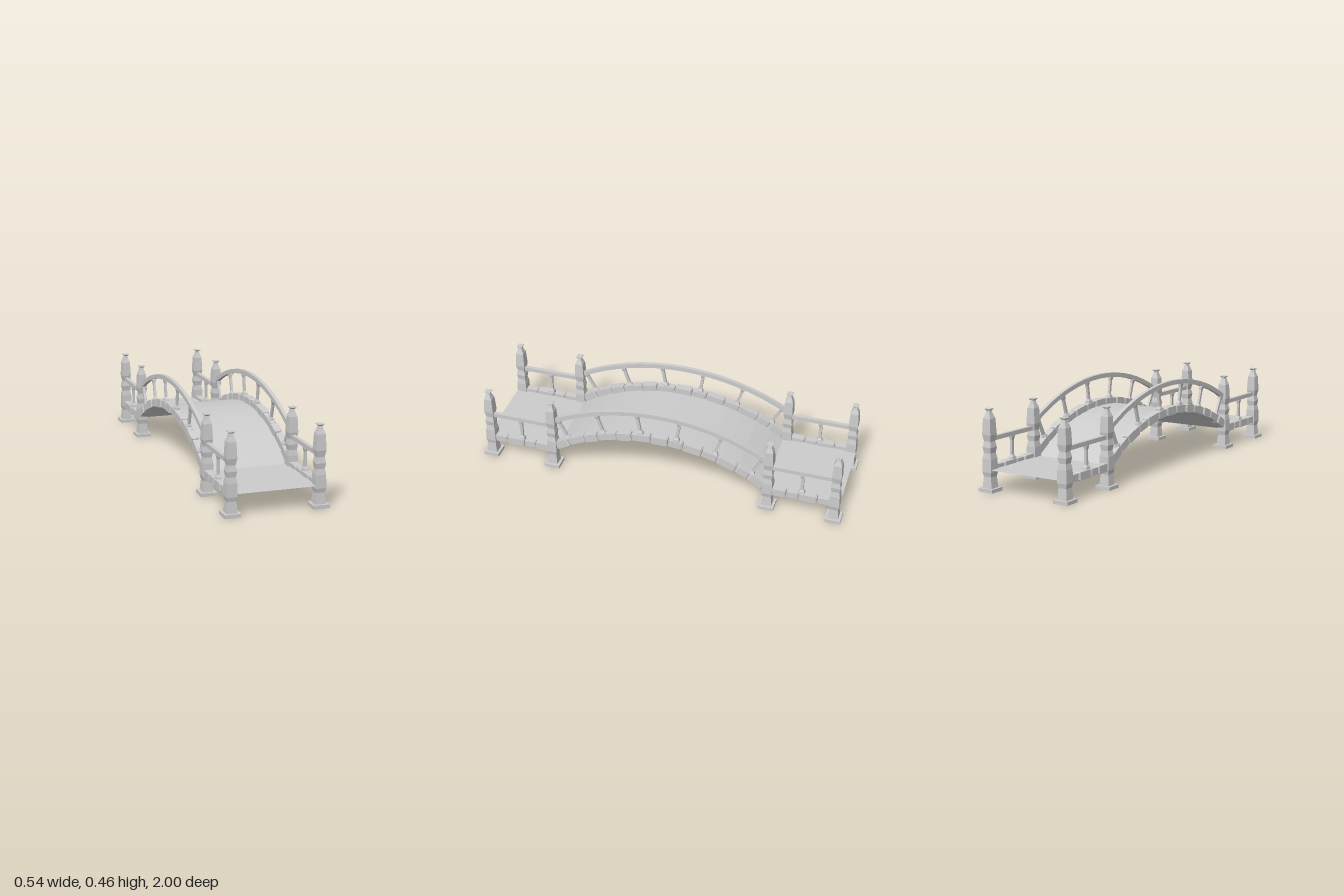
import * as THREE from 'three';

const grey = new THREE.MeshStandardMaterial({ color: 0xcccccc, flatShading: true });
const thin = new THREE.MeshStandardMaterial({ color: 0xcccccc, flatShading: true, side: THREE.DoubleSide });
const SIDE_X = 0.226;   // centre line of posts, stones and rails
const SPAN = 0.58;      // half length of the arch

// Square-section solid from [half width, height] pairs, closed at both ends
function squareLoft(profile) {
  const pts = profile.map(([h, y]) => new THREE.Vector2(h * Math.SQRT2, y));
  pts.unshift(new THREE.Vector2(0, profile[0][1]));
  pts.push(new THREE.Vector2(0, profile[profile.length - 1][1]));
  return new THREE.LatheGeometry(pts, 4).rotateY(Math.PI / 4);
}

function add(parent, name, geometry, material = grey) {
  const mesh = new THREE.Mesh(geometry, material);
  mesh.name = name;
  parent.add(mesh);
  return mesh;
}

// Circular arc through (0, top) and (SPAN, end), as angle -> [z, y]
function makeArc(top, end) {
  const rise = top - end;
  const r = (SPAN * SPAN + rise * rise) / (2 * rise);
  const max = Math.asin(SPAN / r);
  return { r, max, at: (a, off = 0) => [(r + off) * Math.sin(a), top - r + (r + off) * Math.cos(a)] };
}
const deckArc = makeArc(0.293, 0.112);
const stoneArc = makeArc(0.304, 0.135);
const railArc = makeArc(0.451, 0.3);

// Carved post with base plate and flared cap
const postGeometry = squareLoft([
  [0.028, 0.015], [0.0225, 0.075], [0.0275, 0.098], [0.026, 0.165], [0.0205, 0.194],
  [0.025, 0.222], [0.0195, 0.249], [0.0195, 0.254], [0.0255, 0.285], [0.0215, 0.365],
  [0.0125, 0.39], [0.009, 0.405],
]);
const capGeometry = squareLoft([[0.008, 0.403], [0.016, 0.41], [0.016, 0.414], [0.008, 0.4145]]);
function makePost() {
  const post = new THREE.Group();
  post.name = 'post';
  add(post, 'postBase', new THREE.BoxGeometry(0.084, 0.018, 0.084)).position.y = 0.009;
  add(post, 'postShaft', postGeometry);
  add(post, 'postCap', capGeometry);
  return post;
}

// Chamfered kerb stone, long axis along z
function stone(length, height, width) {
  const h = length / 2, c = 0.008;
  return squareLoft([[0.4, -h], [0.5, -h + c], [0.5, h - c], [0.4, h]])
    .rotateX(Math.PI / 2).scale(width, height, 1);
}

// Baluster flared at both ends, between two [z, y] points
function makeBaluster(parent, [z0, y0], [z1, y1]) {
  const len = Math.hypot(z1 - z0, y1 - y0);
  const mesh = add(parent, 'baluster', squareLoft([
    [0.017, 0], [0.015, 0.012], [0.008, 0.024], [0.008, len - 0.024], [0.012, len - 0.008], [0.012, len],
  ]).scale(0.8, 1, 1));
  mesh.position.set(0, y0, z0);
  mesh.rotation.x = Math.atan2(z1 - z0, y1 - y0);
}

// Curved handrail: ring segment extruded across its width
function archRail() {
  const n = 16, outer = [], inner = [];
  for (let i = 0; i <= n; i++) {
    const a = railArc.max * (2 * i / n - 1);
    outer.push(new THREE.Vector2(...railArc.at(a, 0.012)));
    inner.unshift(new THREE.Vector2(...railArc.at(a, -0.012)));
  }
  return new THREE.ExtrudeGeometry(new THREE.Shape([...outer, ...inner]), { depth: 0.02, bevelEnabled: false })
    .translate(0, 0, -0.01).rotateY(-Math.PI / 2);
}

function makeSide() {
  const side = new THREE.Group();
  side.name = 'railing';

  // Arch kerb stones of uneven length
  const lengths = [1, 0.8, 1.15, 0.9, 1.1, 0.85, 1, 1.1, 0.9, 1.15, 0.85, 1.05, 0.9];
  const total = lengths.reduce((s, l) => s + l, 0);
  let a = -stoneArc.max;
  lengths.forEach((l, i) => {
    const step = 2 * stoneArc.max * l / total;
    const [z, y] = stoneArc.at(a + step / 2);
    const m = add(side, 'archStone', stone(step * stoneArc.r - 0.003, i % 2 ? 0.039 : 0.044, i % 2 ? 0.037 : 0.042));
    m.position.set(0, y, z);
    m.rotation.x = a + step / 2;
    a += step;
  });

  // Arch handrail and leaning balusters
  add(side, 'archHandrail', archRail());
  for (const s of [-1, 1]) {
    makeBaluster(side, [s * 0.505, 0.192], [s * 0.565, 0.305]);
    makeBaluster(side, [s * 0.305, 0.272], [s * 0.343, 0.39]);
    makeBaluster(side, [s * 0.098, 0.318], [s * 0.117, 0.438]);
  }

  // Level approaches at both ends
  for (const s of [-1, 1]) {
    for (const z of [0.6, 0.957]) {
      const post = makePost();
      post.position.z = s * z;
      side.add(post);
    }
    let start = 0.615;
    [0.085, 0.065, 0.1, 0.08].forEach((l, i) => {
      add(side, 'kerbStone', stone(l - 0.003, i % 2 ? 0.036 : 0.041, i % 2 ? 0.037 : 0.042))
        .position.set(0, 0.112, s * (start + l / 2));
      start += l;
    });
    add(side, 'levelHandrail', new THREE.BoxGeometry(0.02, 0.022, 0.35)).position.set(0, 0.262, s * 0.778);
    makeBaluster(side, [s * 0.78, 0.13], [s * 0.78, 0.253]);
  }
  return side;
}

export function createModel() {
  const bridge = new THREE.Group();
  bridge.name = 'archedBridge';

  // Arched deck: a strip bent along the deck arc
  const strip = new THREE.PlaneGeometry(0.44, 2, 1, 14).rotateX(-Math.PI / 2);
  const p = strip.attributes.position;
  for (let i = 0; i < p.count; i++) {
    const [z, y] = deckArc.at(p.getZ(i) * deckArc.max);
    p.setXYZ(i, p.getX(i), y, z);
  }
  strip.computeVertexNormals();
  add(bridge, 'archDeck', strip, thin);

  // Level decks
  for (const s of [-1, 1]) {
    add(bridge, 'levelDeck', new THREE.PlaneGeometry(0.44, 0.405).rotateX(-Math.PI / 2), thin)
      .position.set(0, 0.112, s * 0.7825);
  }

  // Railings on both sides
  for (const s of [-1, 1]) {
    const side = makeSide();
    side.position.x = s * SIDE_X;
    bridge.add(side);
  }
  return bridge;
}
